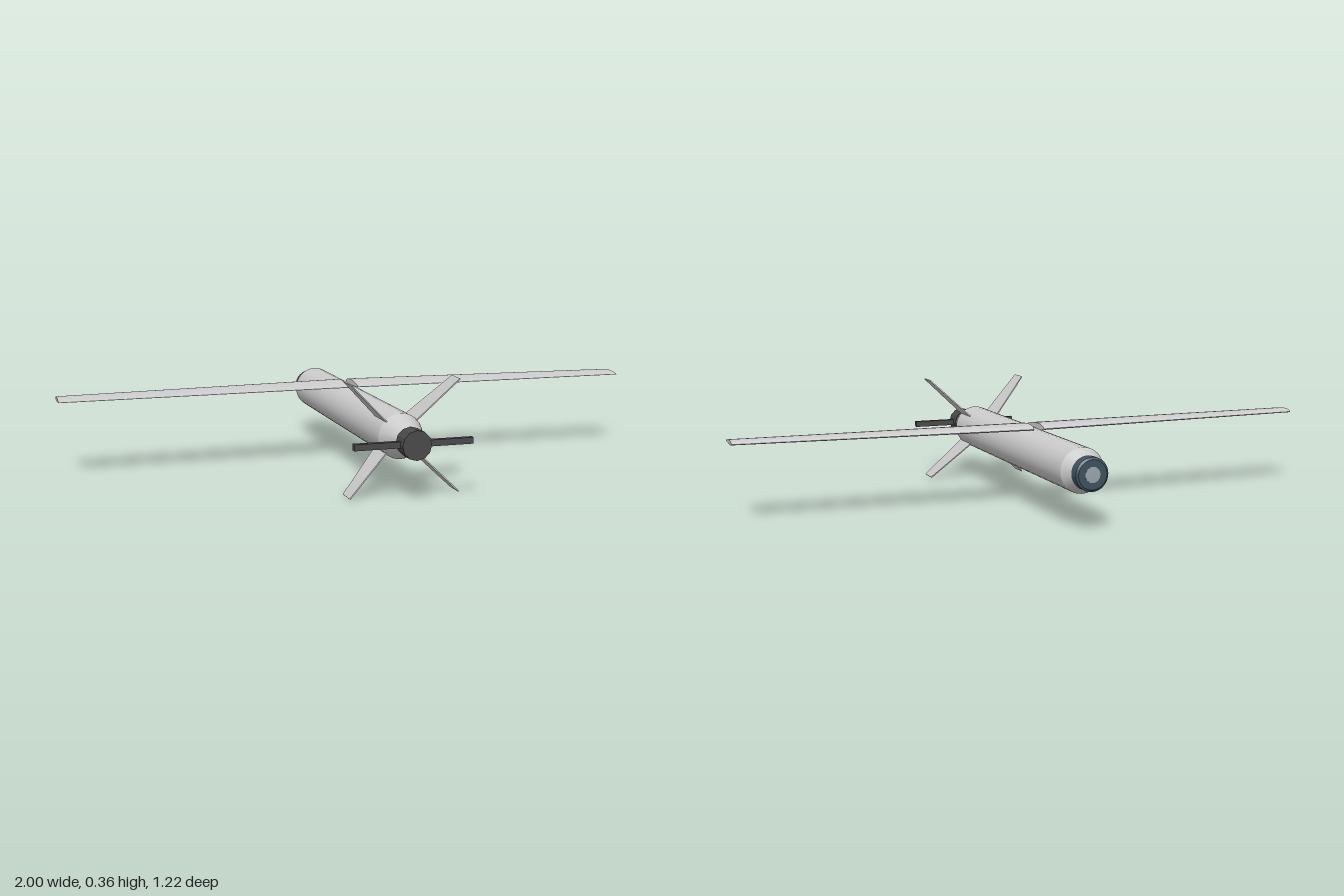
import * as THREE from 'three';
import { toCreasedNormals } from 'three/addons/utils/BufferGeometryUtils.js';

const AXIS_Y = 0.185; // height of the fuselage centreline

const grey = new THREE.MeshStandardMaterial({ color: 0xcccccc });
const dark = new THREE.MeshStandardMaterial({ color: 0x4a4a4a });
const slate = new THREE.MeshStandardMaterial({ color: 0x3f525e });
const glass = new THREE.MeshStandardMaterial({ color: 0x9aa5ab });

function part(name, geometry, material) {
  const mesh = new THREE.Mesh(geometry, material);
  mesh.name = name;
  return mesh;
}

// Body of revolution along z from [radius, z] pairs, z increasing
function turned(name, profile, material, sides = 32) {
  const points = profile.map(([r, z]) => new THREE.Vector2(r, z));
  const geometry = new THREE.LatheGeometry(points, sides).rotateX(Math.PI / 2);
  const mesh = part(name, toCreasedNormals(geometry, 0.3), material);
  mesh.position.y = AXIS_Y;
  return mesh;
}

// Tapered wing panel towards -x: a unit airfoil is extruded, then scaled along the span
function wingGeometry() {
  const foil = new THREE.Shape();
  foil.moveTo(0, 0);
  foil.bezierCurveTo(0.0, -0.05, 0.3, -0.075, 1, -0.01);
  foil.lineTo(1, 0.0);
  foil.bezierCurveTo(0.6, 0.11, 0.05, 0.12, 0, 0);
  const geometry = new THREE.ExtrudeGeometry(foil, { depth: 1, bevelEnabled: false, curveSegments: 10 });
  const pos = geometry.attributes.position;
  for (let i = 0; i < pos.count; i++) {
    const c = pos.getX(i), h = pos.getY(i), t = pos.getZ(i);
    const lead = THREE.MathUtils.lerp(-0.179, -0.122, t);
    const trail = THREE.MathUtils.lerp(-0.033, -0.021, t);
    const chord = trail - lead;
    pos.setXYZ(i, -THREE.MathUtils.lerp(0.017, 1, t), 0.263 + h * chord, lead + c * chord);
  }
  return toCreasedNormals(geometry, 0.6);
}

// Swept tail fin, outline drawn as (distance from axis, z)
function finGeometry() {
  const outline = new THREE.Shape([
    [0.05, 0.345], [0.07, 0.355], [0.254, 0.43], [0.254, 0.5], [0.07, 0.465], [0.05, 0.46],
  ].map(([r, z]) => new THREE.Vector2(r, z)));
  return new THREE.ExtrudeGeometry(outline, { depth: 0.004, bevelEnabled: false })
    .translate(0, 0, -0.002).rotateX(Math.PI / 2);
}

export function createModel() {
  const model = new THREE.Group();
  model.name = 'aircraft';

  model.add(turned('fuselage', [
    [0, -0.572], [0.05, -0.572], [0.073, -0.53], [0.073, 0.455], [0.041, 0.546], [0, 0.546],
  ], grey));

  // Sensor in the nose
  model.add(turned('noseRing', [
    [0, -0.609], [0.047, -0.609], [0.054, -0.604], [0.054, -0.57], [0, -0.57],
  ], slate));
  model.add(turned('noseLens', [[0, -0.611], [0.025, -0.61], [0.025, -0.6]], glass));

  // Wings
  const wing = wingGeometry();
  const rightWing = part('rightWing', wing, grey);
  const leftWing = part('leftWing', wing, grey);
  leftWing.scale.x = -1;
  model.add(rightWing, leftWing);

  // Four tail fins in an X
  const fins = new THREE.Group();
  fins.name = 'tailFins';
  fins.position.y = AXIS_Y;
  const fin = finGeometry();
  for (let i = 0; i < 4; i++) {
    const mesh = part('tailFin', fin, grey);
    mesh.rotation.z = Math.PI / 4 + i * Math.PI / 2;
    fins.add(mesh);
  }
  model.add(fins);

  // Pusher propeller
  model.add(turned('propellerHub', [
    [0, 0.544], [0.047, 0.544], [0.047, 0.609], [0, 0.609],
  ], dark, 12));
  for (const side of [-1, 1]) {
    const blade = part(side > 0 ? 'leftBlade' : 'rightBlade', new THREE.BoxGeometry(0.17, 0.02, 0.018), dark);
    blade.position.set(side * 0.107, AXIS_Y, 0.576);
    model.add(blade);
  }
  return model;
}
